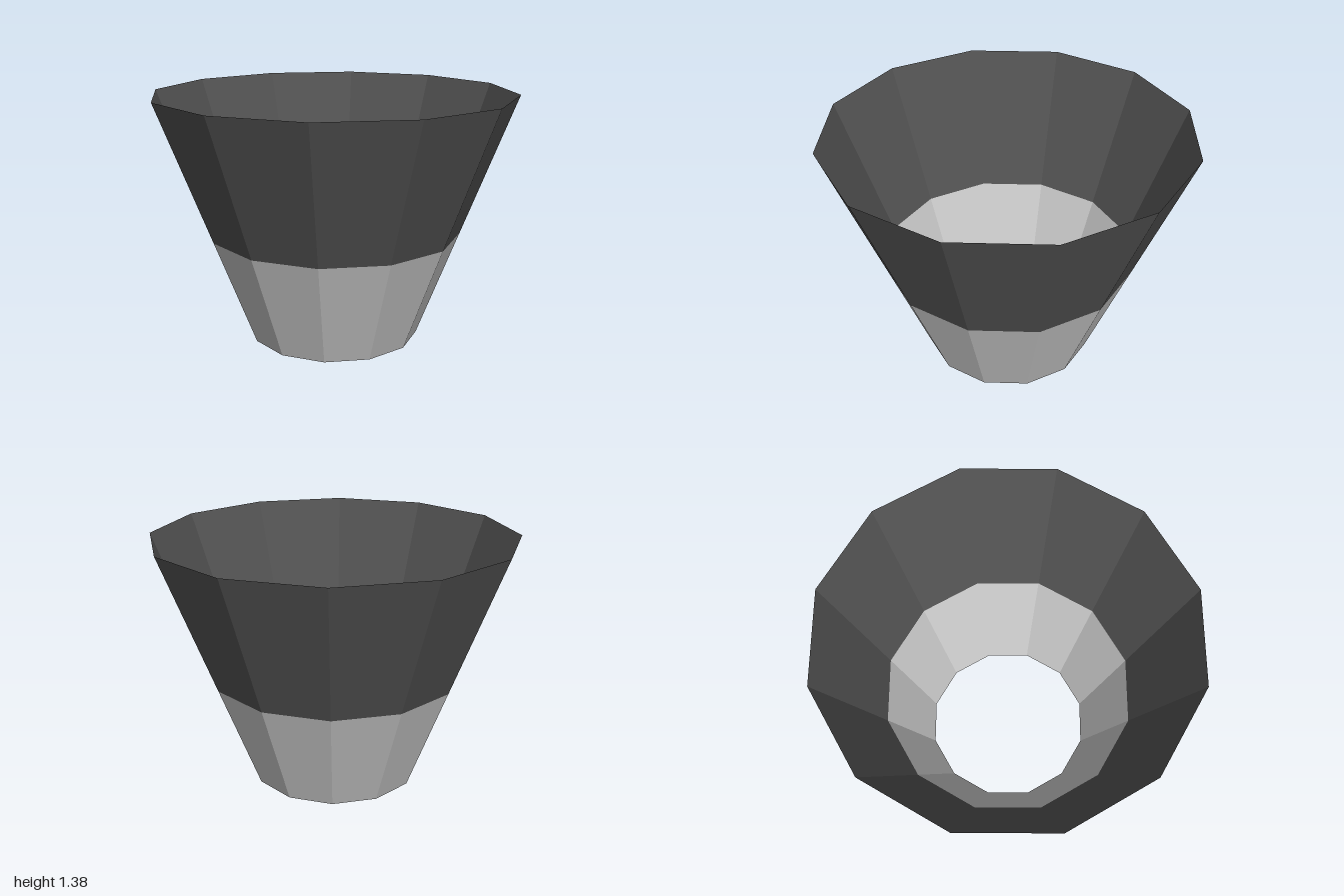
import * as THREE from 'three';

export function createModel() {
  const model = new THREE.Group();
  model.name = 'taperedShade';

  const dark = new THREE.MeshStandardMaterial({ color: 0x525252, flatShading: true, side: THREE.DoubleSide });
  dark.name = 'charcoal';
  const light = new THREE.MeshStandardMaterial({ color: 0xc8c8c8, flatShading: true, side: THREE.DoubleSide });
  light.name = 'lightGrey';

  // Radius of the twelve-sided taper at a given height
  const height = 1.38;
  const radiusAt = (y) => THREE.MathUtils.lerp(0.475, 1, y / height);

  // Open band of the taper between two heights
  function addBand(name, y0, y1, material) {
    const geometry = new THREE.CylinderGeometry(radiusAt(y1), radiusAt(y0), y1 - y0, 12, 1, true);
    const band = new THREE.Mesh(geometry, material);
    band.name = name;
    band.position.y = (y0 + y1) / 2;
    model.add(band);
  }

  addBand('lowerBand', 0, 0.605, light);
  addBand('upperBand', 0.605, height, dark);

  return model;
}
